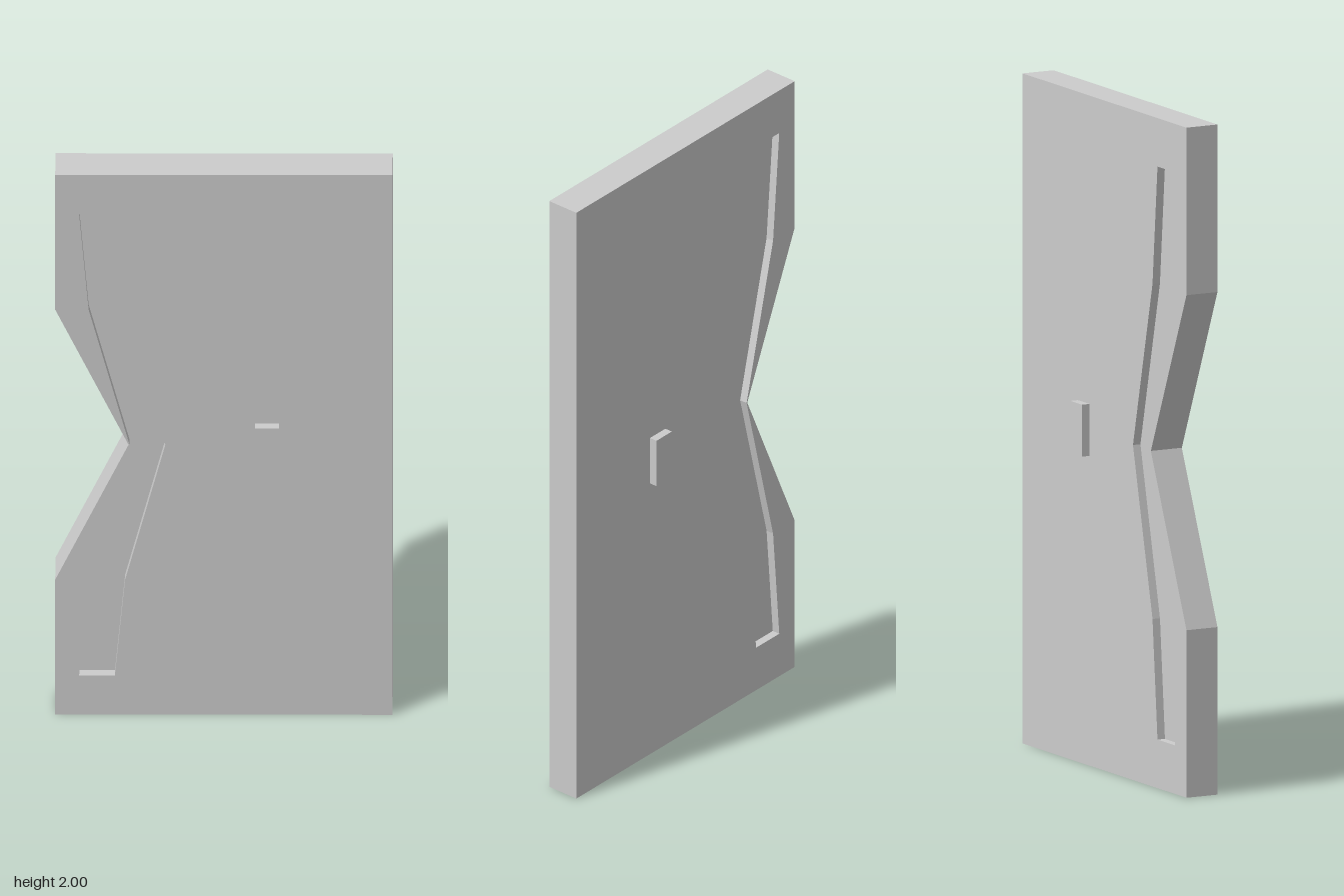
import * as THREE from 'three';

const HALF = 0.052;          // half thickness of the panel
const FLOOR = HALF - 0.025;  // z of the groove floor

const toPoints = (list) => list.map(([x, y]) => new THREE.Vector2(x, y));

// Outlines run counter-clockwise, with y = 0 at mid height
const outline = toPoints([
  [-0.495, -1], [0.495, -1], [0.495, 1], [-0.495, 1],
  [-0.495, 0.5], [-0.28, 0], [-0.495, -0.5],
]);
const groove = toPoints([
  [-0.425, -0.855], [-0.32, -0.855], [-0.29, -0.5], [-0.172, 0],
  [-0.29, 0.5], [-0.32, 0.855], [-0.425, 0.855], [-0.397, 0.5],
  [-0.277, 0], [-0.397, -0.5],
]);

// Closed wall along a loop of points, facing outwards for counter-clockwise loops
function wallGeometry(points, z0, z1) {
  const positions = [];
  points.forEach((a, i) => {
    const b = points[(i + 1) % points.length];
    positions.push(
      a.x, a.y, z0, b.x, b.y, z0, b.x, b.y, z1,
      a.x, a.y, z0, b.x, b.y, z1, a.x, a.y, z1,
    );
  });
  const geometry = new THREE.BufferGeometry();
  geometry.setAttribute('position', new THREE.Float32BufferAttribute(positions, 3));
  geometry.computeVertexNormals();
  return geometry;
}

export function createModel() {
  const material = new THREE.MeshStandardMaterial({ color: 0xcccccc, flatShading: true });
  const model = new THREE.Group();
  model.name = 'notchedPanel';

  const add = (parent, name, geometry) => {
    const mesh = new THREE.Mesh(geometry, material);
    mesh.name = name;
    parent.add(mesh);
    return mesh;
  };

  // Outer rim of the panel, including the V notch
  add(model, 'panelRim', wallGeometry(outline, -HALF, HALF));

  // Both faces with a recessed groove; the back is the front turned about x
  const faceShape = new THREE.Shape(outline);
  faceShape.holes.push(new THREE.Path(groove));
  for (const [side, turn] of [['front', 0], ['back', Math.PI]]) {
    const face = new THREE.Group();
    face.name = side + 'Side';
    face.rotation.x = turn;
    add(face, side + 'Face', new THREE.ShapeGeometry(faceShape)).position.z = HALF;
    add(face, side + 'GrooveFloor', new THREE.ShapeGeometry(new THREE.Shape(groove))).position.z = FLOOR;
    add(face, side + 'GrooveWalls', wallGeometry([...groove].reverse(), FLOOR, HALF));
    model.add(face);
  }

  // Small block passing through the panel
  add(model, 'latchBlock', new THREE.BoxGeometry(0.07, 0.155, 0.154)).position.set(0.126, 0.002, 0);

  // Stand the panel on the ground
  model.children.forEach((part) => { part.position.y += 1; });
  return model;
}
